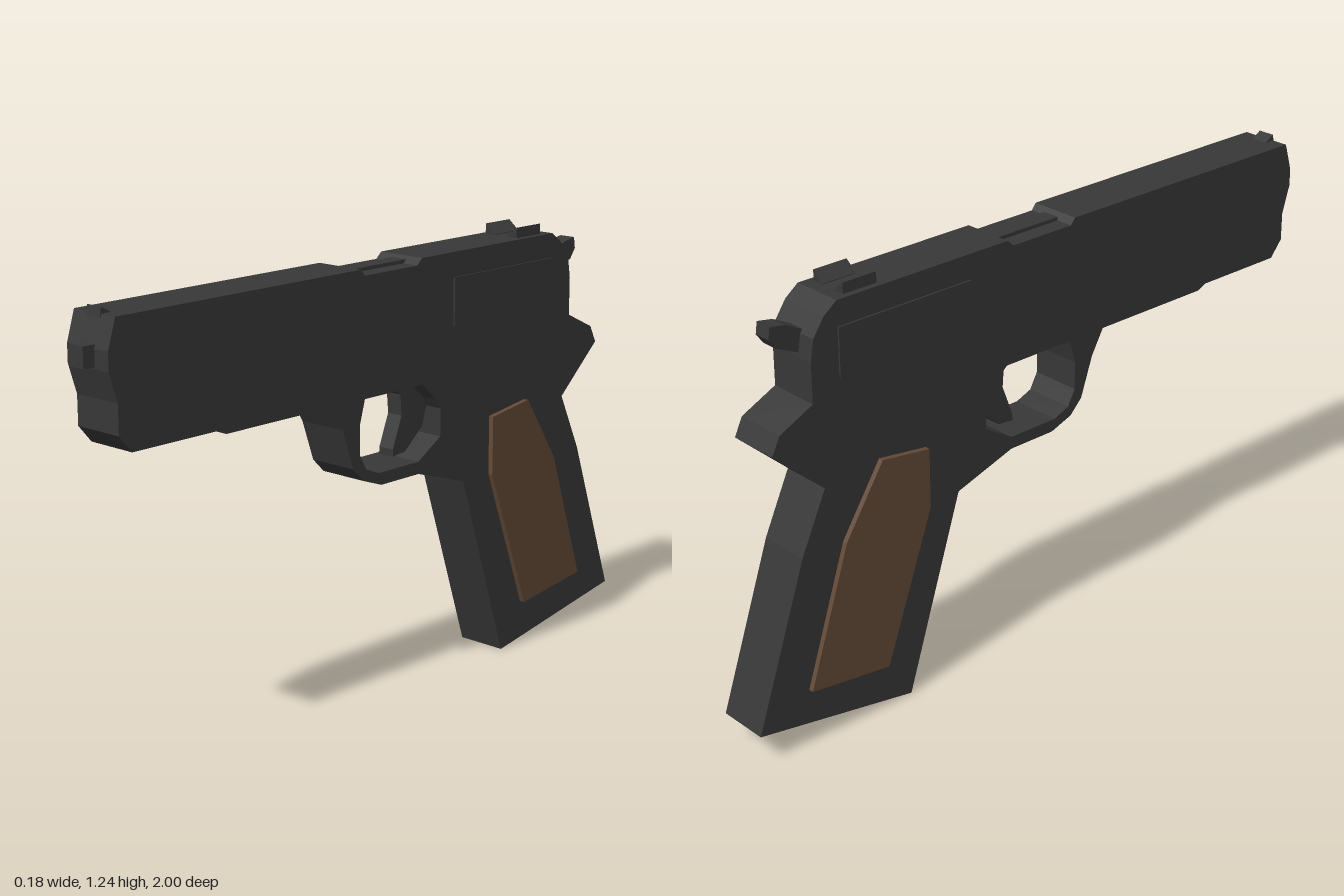
import * as THREE from 'three';

const gunmetal = new THREE.MeshStandardMaterial({ color: 0x383838 });
gunmetal.name = 'gunmetal';
const walnut = new THREE.MeshStandardMaterial({ color: 0x644a37 });
walnut.name = 'walnut';

const toPoints = (pts) => pts.map(([a, b]) => new THREE.Vector2(a, b));

// Side profile given as (z, y), extruded to a width centred on x
function sideProfile(name, pts, width, material, x = 0, hole = null) {
  const shape = new THREE.Shape(toPoints(pts));
  if (hole) shape.holes.push(new THREE.Path(toPoints(hole)));
  const geo = new THREE.ExtrudeGeometry(shape, { depth: width, bevelEnabled: false });
  geo.translate(0, 0, -width / 2);
  geo.rotateY(-Math.PI / 2);
  const mesh = new THREE.Mesh(geo, material);
  mesh.name = name;
  mesh.position.x = x;
  return mesh;
}

// Box given by its limits
function block(name, x0, x1, y0, y1, z0, z1) {
  const mesh = new THREE.Mesh(new THREE.BoxGeometry(x1 - x0, y1 - y0, z1 - z0), gunmetal);
  mesh.position.set((x0 + x1) / 2, (y0 + y1) / 2, (z0 + z1) / 2);
  mesh.name = name;
  return mesh;
}

export function createModel() {
  const model = new THREE.Group();
  model.name = 'pistol';

  // Slide, frame, handle and trigger guard in one silhouette
  const outline = [
    [0.94, 1.21], [0.1, 1.21], [0.085, 1.192], [-0.12, 1.192], [-0.14, 1.21],
    [-0.7, 1.21], [-0.74, 1.18], [-0.775, 1.13], [-0.785, 1.07], [-0.785, 0.96],
    [-0.89, 0.91], [-0.915, 0.86], [-0.76, 0.72], [-0.84, 0.55], [-1, 0.09],
    [-0.5, 0], [-0.32, 0.55], [-0.13, 0.61], [0.02, 0.61], [0.09, 0.635],
    [0.13, 0.675], [0.17, 0.79], [0.21, 0.86], [0.59, 0.86], [0.62, 0.873],
    [0.9, 0.873], [0.94, 0.92], [0.94, 1], [0.965, 1.08], [0.965, 1.13],
  ];
  const guardHole = [
    [0.085, 0.86], [0.105, 0.79], [0.105, 0.71], [0.08, 0.665], [0.03, 0.645],
    [-0.13, 0.645], [-0.22, 0.7], [-0.22, 0.78], [-0.2, 0.81], [-0.145, 0.86],
  ];
  model.add(sideProfile('body', outline, 0.15, gunmetal, 0, guardHole));

  // Curved trigger
  model.add(sideProfile('trigger', [
    [-0.07, 0.87], [-0.11, 0.83], [-0.115, 0.77], [-0.08, 0.68], [-0.08, 0.66],
    [-0.13, 0.665], [-0.2, 0.725], [-0.22, 0.79], [-0.19, 0.87],
  ], 0.05, gunmetal));

  // Hammer
  model.add(sideProfile('hammer', [
    [-0.74, 1.13], [-0.77, 1.14], [-0.82, 1.165], [-0.865, 1.173],
    [-0.87, 1.14], [-0.85, 1.112], [-0.78, 1.08], [-0.74, 1.08],
  ], 0.05, gunmetal));

  // Muzzle, barrel in the ejection port, front sight
  model.add(block('muzzle', -0.025, 0.025, 1.085, 1.14, 0.93, 1));
  model.add(block('chamber', -0.025, 0.025, 1.18, 1.202, -0.13, 0.085));
  model.add(sideProfile('frontSight',
    [[0.9, 1.205], [0.945, 1.2], [0.94, 1.227]], 0.05, gunmetal));

  for (const side of [-1, 1]) {
    // Raised panel on the slide
    model.add(block('slidePanel', side * 0.076 - 0.004, side * 0.076 + 0.004,
      1.005, 1.14, -0.7, -0.27));

    // Wedge-shaped rear sight
    const wedge = new THREE.Shape(toPoints([
      [side * 0.057, 1.205], [side * 0.057, 1.24], [side * 0.023, 1.212], [side * 0.023, 1.205],
    ]));
    const sight = new THREE.Mesh(
      new THREE.ExtrudeGeometry(wedge, { depth: 0.105, bevelEnabled: false }), gunmetal);
    sight.position.z = -0.665;
    sight.name = 'rearSight';
    model.add(sight);

    // Wooden grip panel
    model.add(sideProfile('gripPanel', [
      [-0.43, 0.72], [-0.585, 0.742], [-0.71, 0.55],
      [-0.84, 0.162], [-0.585, 0.128], [-0.43, 0.55],
    ], 0.03, walnut, side * 0.075));
  }

  return model;
}
